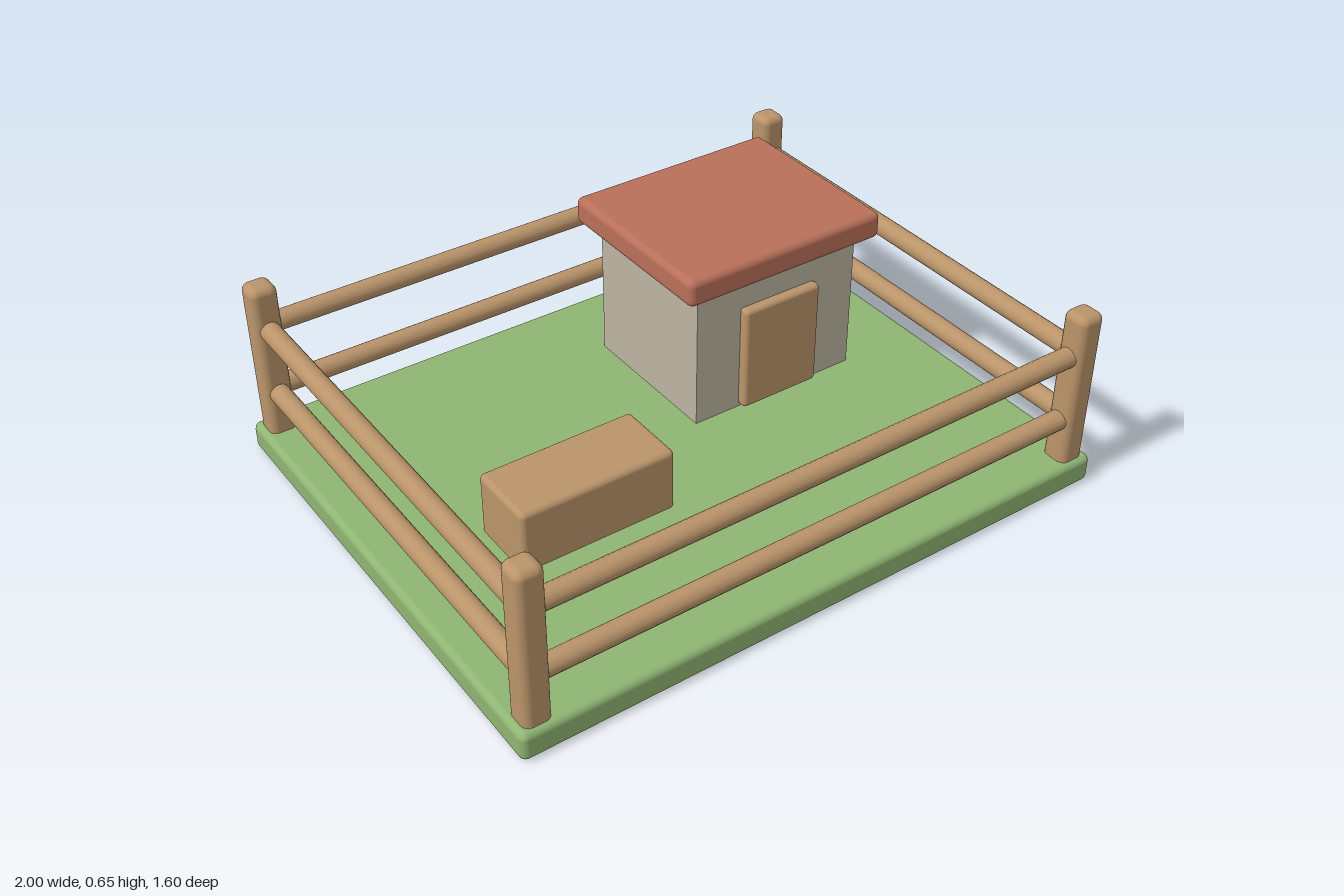
import * as THREE from 'three';
import { RoundedBoxGeometry } from 'three/addons/geometries/RoundedBoxGeometry.js';

const material = (name, color) => {
  const m = new THREE.MeshStandardMaterial({ color });
  m.name = name;
  return m;
};

export function createModel() {
  const group = new THREE.Group();
  group.name = 'paddock';
  const grass = material('grass green', 0x8fb573);
  const wood = material('wood brown', 0xba946a);
  const stone = material('wall grey', 0xbdb5a2);
  const tile = material('roof red', 0xb9705a);

  const add = (name, geometry, mat, x, y, z) => {
    const mesh = new THREE.Mesh(geometry, mat);
    mesh.name = name;
    mesh.position.set(x, y, z);
    group.add(mesh);
    return mesh;
  };
  // Block given by its lower and upper corners, rounded when r > 0
  const block = (name, mat, [x0, y0, z0], [x1, y1, z1], r) => {
    const size = [x1 - x0, y1 - y0, z1 - z0];
    const geometry = r ? new RoundedBoxGeometry(...size, 3, r) : new THREE.BoxGeometry(...size);
    return add(name, geometry, mat, (x0 + x1) / 2, (y0 + y1) / 2, (z0 + z1) / 2);
  };

  // Ground slab
  block('ground', grass, [-1, 0, -0.8], [1, 0.095, 0.8], 0.022);

  // Fence: corner posts and two round rails on each side
  const postX = 0.935, postZ = 0.74, half = 0.0435;
  for (const sx of [-1, 1]) {
    for (const sz of [-1, 1]) {
      const x = sx * postX, z = sz * postZ;
      block('fencePost', wood, [x - half, 0.05, z - half], [x + half, 0.607, z + half], 0.025);
    }
  }
  for (const y of [0.237, 0.462]) {
    for (const s of [-1, 1]) {
      const long = new THREE.CylinderGeometry(0.032, 0.032, 2 * postX - 0.06, 16).rotateZ(Math.PI / 2);
      add('longRail', long, wood, 0, y, s * postZ);
      const short = new THREE.CylinderGeometry(0.032, 0.032, 2 * postZ - 0.06, 16).rotateX(Math.PI / 2);
      add('sideRail', short, wood, s * postX, y, 0);
    }
  }

  // Shelter
  block('shelterWalls', stone, [0.115, 0.09, -0.52], [0.71, 0.57, -0.007], 0);
  block('shelterRoof', tile, [0.055, 0.56, -0.575], [0.77, 0.65, 0.042], 0.022);
  block('shelterDoor', wood, [0.273, 0.105, -0.012], [0.555, 0.462, 0.028], 0.014);

  // Feeding trough
  block('trough', wood, [-0.675, 0.06, 0.045], [-0.163, 0.297, 0.277], 0.018);

  return group;
}
